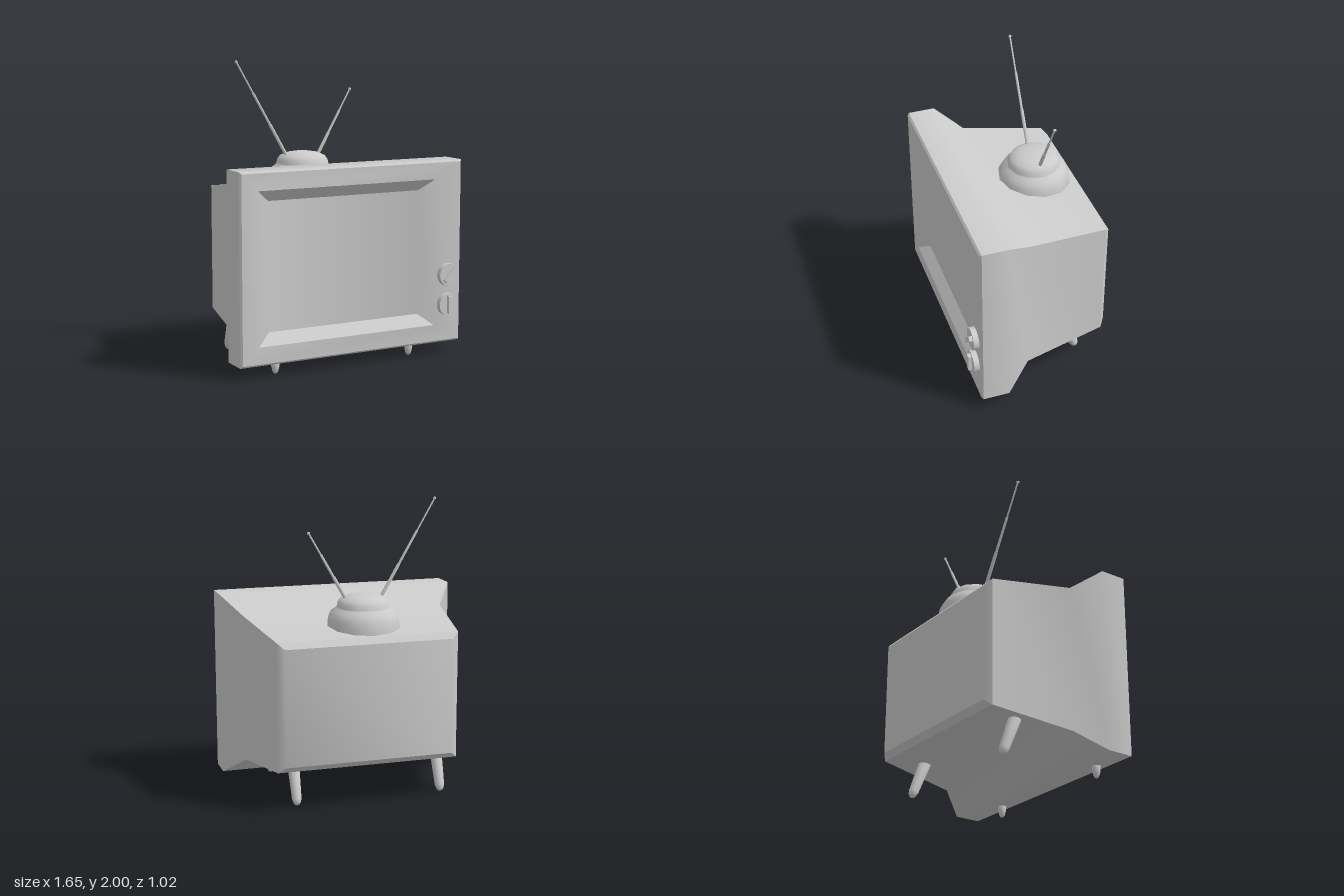
import * as THREE from 'three';
import { toCreasedNormals } from 'three/addons/utils/BufferGeometryUtils.js';

const material = new THREE.MeshStandardMaterial({ color: 0xcccccc });

function add(parent, name, geometry, x = 0, y = 0, z = 0) {
  const mesh = new THREE.Mesh(geometry, material);
  mesh.name = name;
  mesh.position.set(x, y, z);
  parent.add(mesh);
  return mesh;
}

// Skin through rectangular sections [z, left, right, bottom, top], closed at both ends.
function rectLoft(sections) {
  const positions = [], index = [];
  for (const [z, x0, x1, y0, y1] of sections) {
    positions.push(x0, y0, z, x1, y0, z, x1, y1, z, x0, y1, z);
  }
  for (let s = 0; s < sections.length - 1; s++) {
    for (let i = 0; i < 4; i++) {
      const a = s * 4 + i, b = s * 4 + (i + 1) % 4;
      index.push(a, b, b + 4, a, b + 4, a + 4);
    }
  }
  const e = (sections.length - 1) * 4;
  index.push(0, 2, 1, 0, 3, 2, e, e + 1, e + 2, e, e + 2, e + 3);
  const geometry = new THREE.BufferGeometry();
  geometry.setAttribute('position', new THREE.Float32BufferAttribute(positions, 3));
  geometry.setIndex(index);
  return toCreasedNormals(geometry, 0.68);
}

const lathe = (points, sides) =>
  new THREE.LatheGeometry(points.map(([r, y]) => new THREE.Vector2(r, y)), sides);

// Rounded, tapering foot of a given length, tip at the origin.
function legGeometry(length, radius) {
  const tip = [[0, 0], [0.35, 0.005], [0.6, 0.02], [0.78, 0.045]].map(([r, y]) => [r * radius, y]);
  return lathe([...tip, [radius, length], [0, length]], 12);
}

// Telescopic rod in three stages with a ball at the tip.
function antenna(name, from, to) {
  const group = new THREE.Group();
  group.name = name;
  const dir = to.clone().sub(from);
  const length = dir.length();
  group.position.copy(from);
  group.quaternion.setFromUnitVectors(new THREE.Vector3(0, 1, 0), dir.normalize());
  const stages = [[0, 0.34, 0.012], [0.34, 0.67, 0.009], [0.67, 1, 0.006]];
  for (const [a, b, r] of stages) {
    add(group, 'antennaStage', new THREE.CylinderGeometry(r, r, (b - a) * length, 8), 0, (a + b) / 2 * length, 0);
  }
  add(group, 'antennaTip', new THREE.SphereGeometry(0.011, 8, 6), 0, length - 0.008, 0);
  return group;
}

export function createModel() {
  const model = new THREE.Group();
  model.name = 'television';

  // Cabinet from back panel to front frame, then inward to the recessed screen
  add(model, 'cabinet', rectLoft([
    [-0.51, -0.57, 0.57, 0.32, 1.10],
    [-0.475, -0.615, 0.615, 0.28, 1.14],
    [0.085, -0.70, 0.70, 0.21, 1.21],
    [0.26, -0.827, 0.827, 0.085, 1.335],
    [0.442, -0.827, 0.827, 0.085, 1.335],
    [0.455, -0.814, 0.814, 0.098, 1.322],
    [0.455, -0.70, 0.615, 0.21, 1.21],
    [0.39, -0.60, 0.52, 0.285, 1.135],
  ]));

  // Dials with a raised grip
  for (const [y, turn] of [[0.555, -Math.PI / 4], [0.35, 0]]) {
    const dial = new THREE.Group();
    dial.name = 'dial';
    dial.position.set(0.716, y, 0.455);
    dial.rotation.z = turn;
    const disc = toCreasedNormals(new THREE.CylinderGeometry(0.077, 0.077, 0.045, 24), 0.6);
    add(dial, 'dialDisc', disc, 0, 0, 0.0145).rotation.x = Math.PI / 2;
    add(dial, 'dialGrip', new THREE.BoxGeometry(0.035, 0.12, 0.04), 0, 0, 0.04);
    model.add(dial);
  }

  // Short front feet and raked back legs
  for (const x of [-0.553, 0.457]) {
    add(model, 'frontLeg', legGeometry(0.11, 0.033), x, 0.005, 0.385);
    add(model, 'backLeg', legGeometry(0.3, 0.042), x, 0.005, -0.358).rotation.x = 0.37;
  }

  // Two-tier domed antenna base
  add(model, 'antennaBase', lathe([
    [0.25, 1.12], [0.248, 1.17], [0.238, 1.22], [0.218, 1.26], [0.185, 1.285],
    [0.179, 1.295], [0.174, 1.32], [0.155, 1.347], [0.11, 1.366], [0.055, 1.375], [0, 1.377],
  ], 12), -0.045, 0, -0.21);

  model.add(antenna('rightAntenna', new THREE.Vector3(-0.16, 1.337, -0.21), new THREE.Vector3(-0.542, 1.998, -0.21)));
  model.add(antenna('leftAntenna', new THREE.Vector3(0.07, 1.337, -0.21), new THREE.Vector3(0.332, 1.798, -0.21)));

  return model;
}
